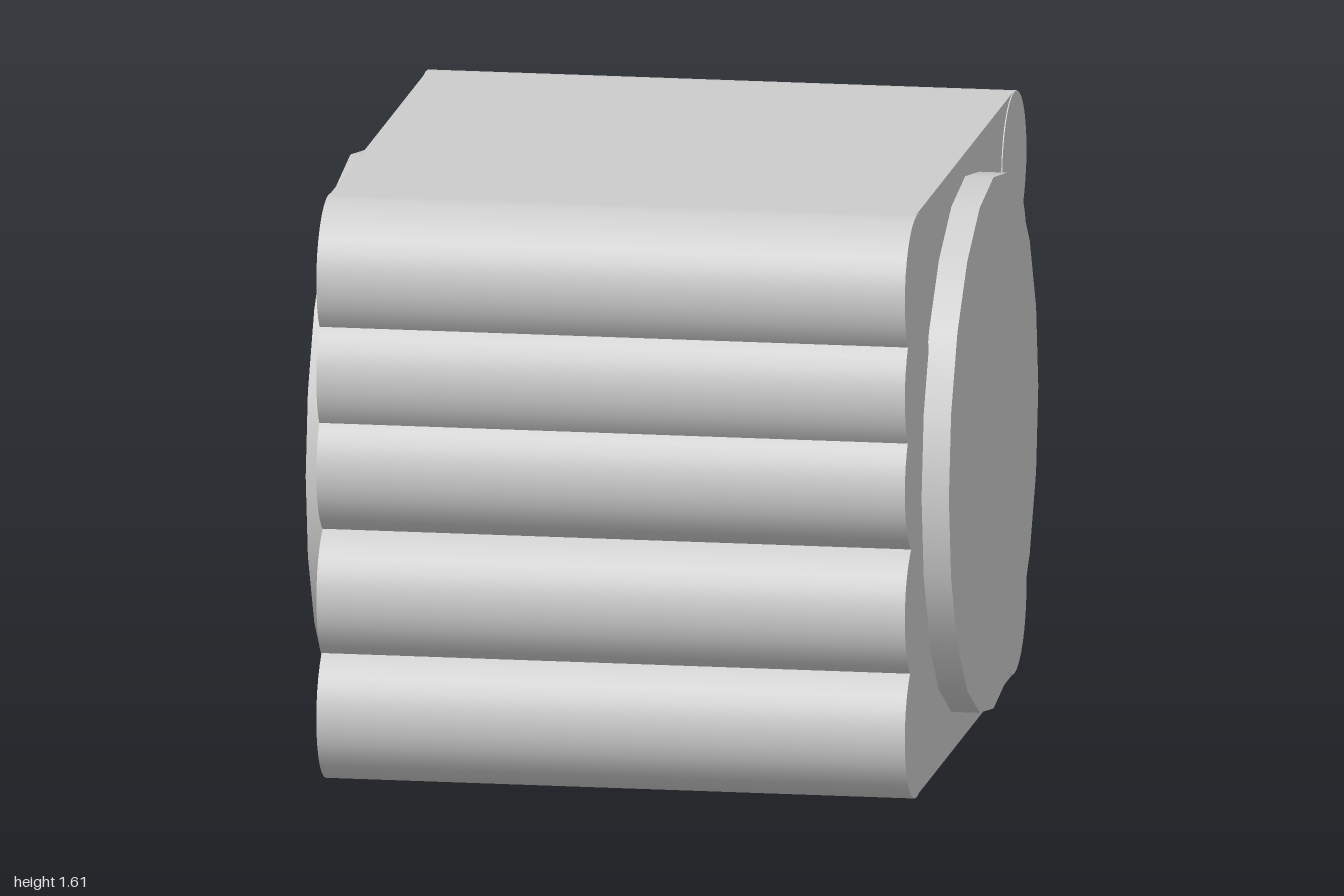
import * as THREE from 'three';

export function createModel() {
  const model = new THREE.Group();
  const material = new THREE.MeshStandardMaterial({ color: 0xcccccc });

  const add = (name, geometry, x, y, z, parent = model) => {
    const mesh = new THREE.Mesh(geometry, material);
    mesh.name = name;
    mesh.position.set(x, y, z);
    parent.add(mesh);
    return mesh;
  };

  // Solid core between the two ribbed faces
  add('core', new THREE.BoxGeometry(1.608, 1.61, 1.6), 0, 0.805, 0);

  // Stacked horizontal rolls on the front and back
  const roll = new THREE.CylinderGeometry(0.2, 0.2, 1.614, 32).rotateZ(Math.PI / 2);
  for (const side of [1, -1]) {
    const rolls = new THREE.Group();
    rolls.name = side > 0 ? 'frontRolls' : 'backRolls';
    model.add(rolls);
    [0.2, 0.53, 0.88, 1.14, 1.41].forEach((y, i) => {
      add(`roll${i + 1}`, roll, 0, y, side * 0.8, rolls);
    });
  }

  // Twenty-sided end discs standing proud of the left and right faces
  const disc = new THREE.CylinderGeometry(0.735, 0.735, 0.1, 20).rotateZ(Math.PI / 2);
  add('leftDisc', disc, 0.832, 0.81, -0.01);
  add('rightDisc', disc, -0.832, 0.81, -0.01);

  return model;
}
